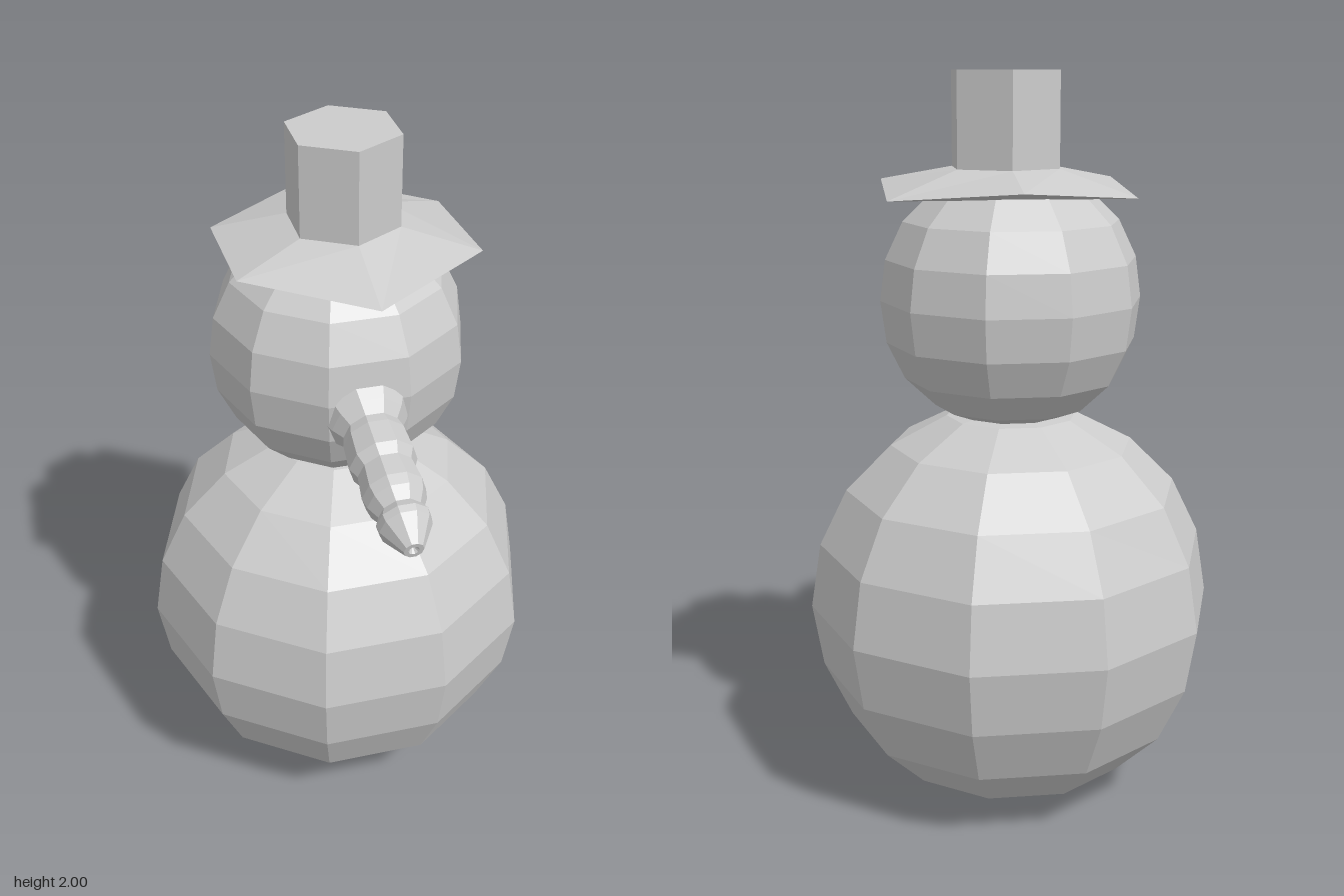
import * as THREE from 'three';

const grey = new THREE.MeshStandardMaterial({ color: 0xcccccc, flatShading: true });

function part(name, geometry, x = 0, y = 0, z = 0) {
  const mesh = new THREE.Mesh(geometry, grey);
  mesh.name = name;
  mesh.position.set(x, y, z);
  return mesh;
}

// Turned solid with ten sides from [radius, height] pairs, listed bottom to top
function turned(profile) {
  const points = profile.map(([r, y]) => new THREE.Vector2(r, y));
  return new THREE.LatheGeometry(points, 10, Math.PI / 2);
}

// Six-sided brim: corners alternate low and high, and slope up to the crown
function brimGeometry(outer, inner, low, high, top) {
  const corner = (r, y, i) => {
    const a = (i * Math.PI) / 3;
    return [r * Math.sin(a), y, r * Math.cos(a)];
  };
  const edge = (i) => corner(outer, i % 2 ? high : low, i);
  const rim = (i) => corner(inner, top, i);
  const v = [];
  for (let i = 0; i < 6; i++) {
    v.push(...edge(i), ...edge(i + 1), ...rim(i + 1));
    v.push(...edge(i), ...rim(i + 1), ...rim(i));
  }
  // Underside: one flat triangle between the low corners, three raised flaps
  v.push(...edge(0), ...edge(4), ...edge(2));
  for (let i = 0; i < 6; i += 2) v.push(...edge(i), ...edge(i + 2), ...edge(i + 1));
  const g = new THREE.BufferGeometry();
  g.setAttribute('position', new THREE.Float32BufferAttribute(v, 3));
  g.computeVertexNormals();
  return g;
}

export function createModel() {
  const model = new THREE.Group();
  model.name = 'snowman';
  const cz = -0.103;

  // Body, with a small dimple underneath
  model.add(part('body', turned([
    [0, 0.05], [0.05, 0.04], [0.065, 0.008], [0.105, 0], [0.335, 0.083], [0.46, 0.205],
    [0.536, 0.365], [0.565, 0.54], [0.536, 0.72], [0.46, 0.875], [0.335, 1.0],
    [0.18, 1.08], [0.1, 1.09],
  ]), 0, 0, cz));

  // Head
  model.add(part('head', turned([
    [0.1, 1.075], [0.14, 1.083], [0.21, 1.11], [0.292, 1.187], [0.34, 1.286], [0.355, 1.4],
    [0.34, 1.51], [0.292, 1.61], [0.215, 1.685], [0.11, 1.715], [0, 1.72],
  ]), 0, 0, cz));

  // Ridged carrot nose, drooping forward, with a dimpled tip
  const nose = part('carrotNose', turned([
    [0.115, -0.03], [0.1, 0.0], [0.077, 0.03], [0.085, 0.06], [0.09, 0.135], [0.075, 0.165],
    [0.083, 0.235], [0.077, 0.265], [0.058, 0.3], [0.071, 0.325], [0.068, 0.345],
    [0.026, 0.415], [0.014, 0.415], [0, 0.395],
  ]), -0.003, 1.335, 0.24);
  nose.rotation.x = Math.PI / 2 + THREE.MathUtils.degToRad(14);
  model.add(nose);

  // Hat
  const hat = new THREE.Group();
  hat.name = 'hat';
  hat.position.set(0.018, 0, -0.105);
  hat.add(part('hatBrim', brimGeometry(0.371, 0.155, 1.68, 1.71, 1.75)));
  hat.add(part('hatCrown', new THREE.CylinderGeometry(0.155, 0.155, 0.25, 6), 0, 1.875, 0));
  model.add(hat);

  return model;
}
